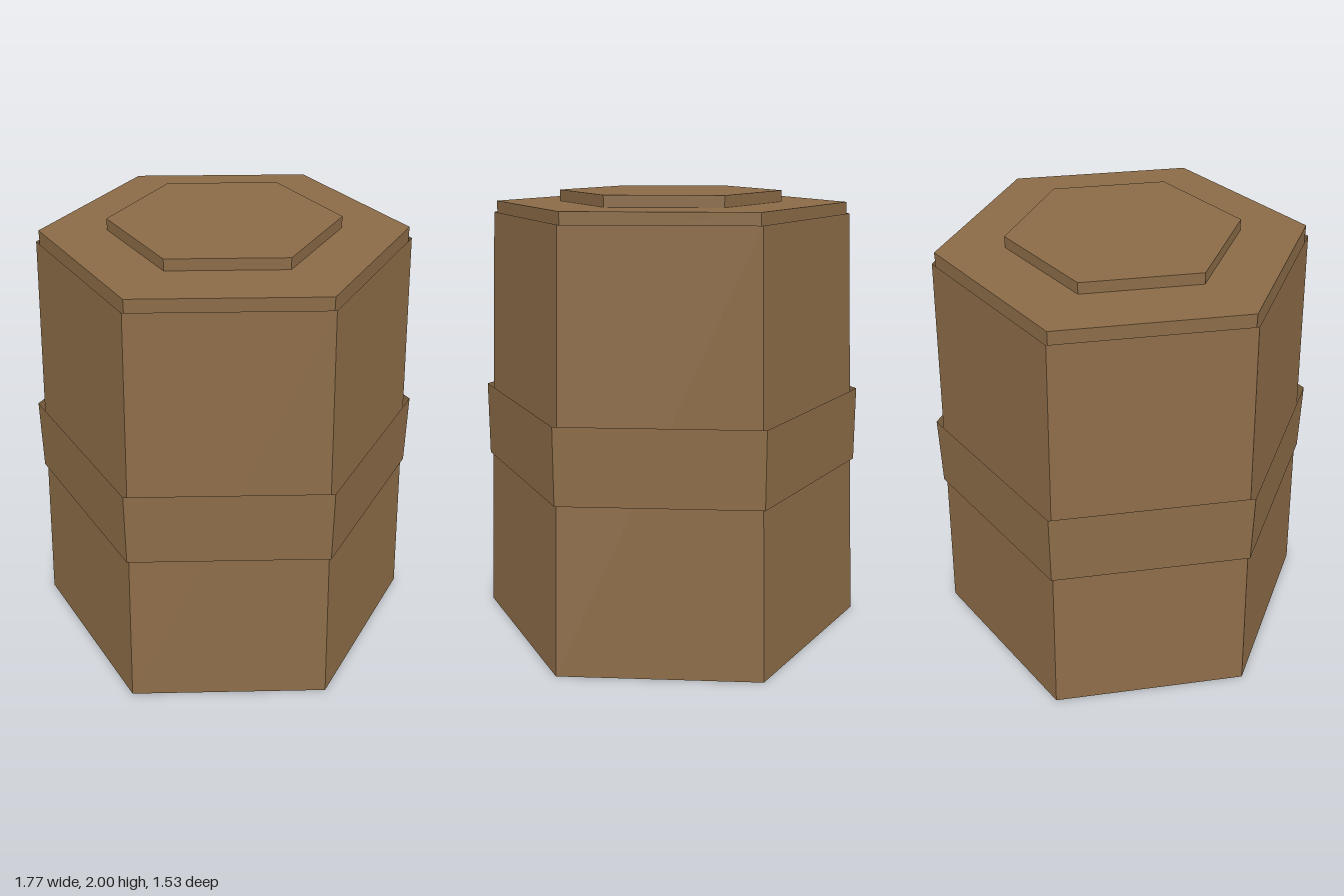
import * as THREE from 'three';

export function createModel() {
  const model = new THREE.Group();
  model.name = 'hexagonalContainer';

  const brown = new THREE.MeshStandardMaterial({ color: 0x8b6b47 });
  brown.name = 'brown';
  brown.flatShading = true;
  brown.side = THREE.DoubleSide; // the shell and band are open, thin surfaces

  // Six-sided prism between two heights, with corners on the x axis
  function hexPrism(name, topRadius, bottomRadius, y0, y1, open) {
    const geometry = new THREE.CylinderGeometry(
      topRadius, bottomRadius, y1 - y0, 6, 1, open, Math.PI / 6);
    geometry.translate(0, (y0 + y1) / 2, 0);
    const mesh = new THREE.Mesh(geometry, brown);
    mesh.name = name;
    model.add(mesh);
  }

  // Tapered shell, open at both ends
  hexPrism('shell', 0.8, 0.885, 0, 1.9, true);
  // Straight band around the middle
  hexPrism('band', 0.865, 0.865, 0.76, 1.1, true);
  // Lid, set just inside the rim
  hexPrism('lid', 0.786, 0.786, 1.85, 1.95, false);
  // Raised plate on the lid
  hexPrism('topPlate', 0.497, 0.497, 1.95, 2, false);

  return model;
}
